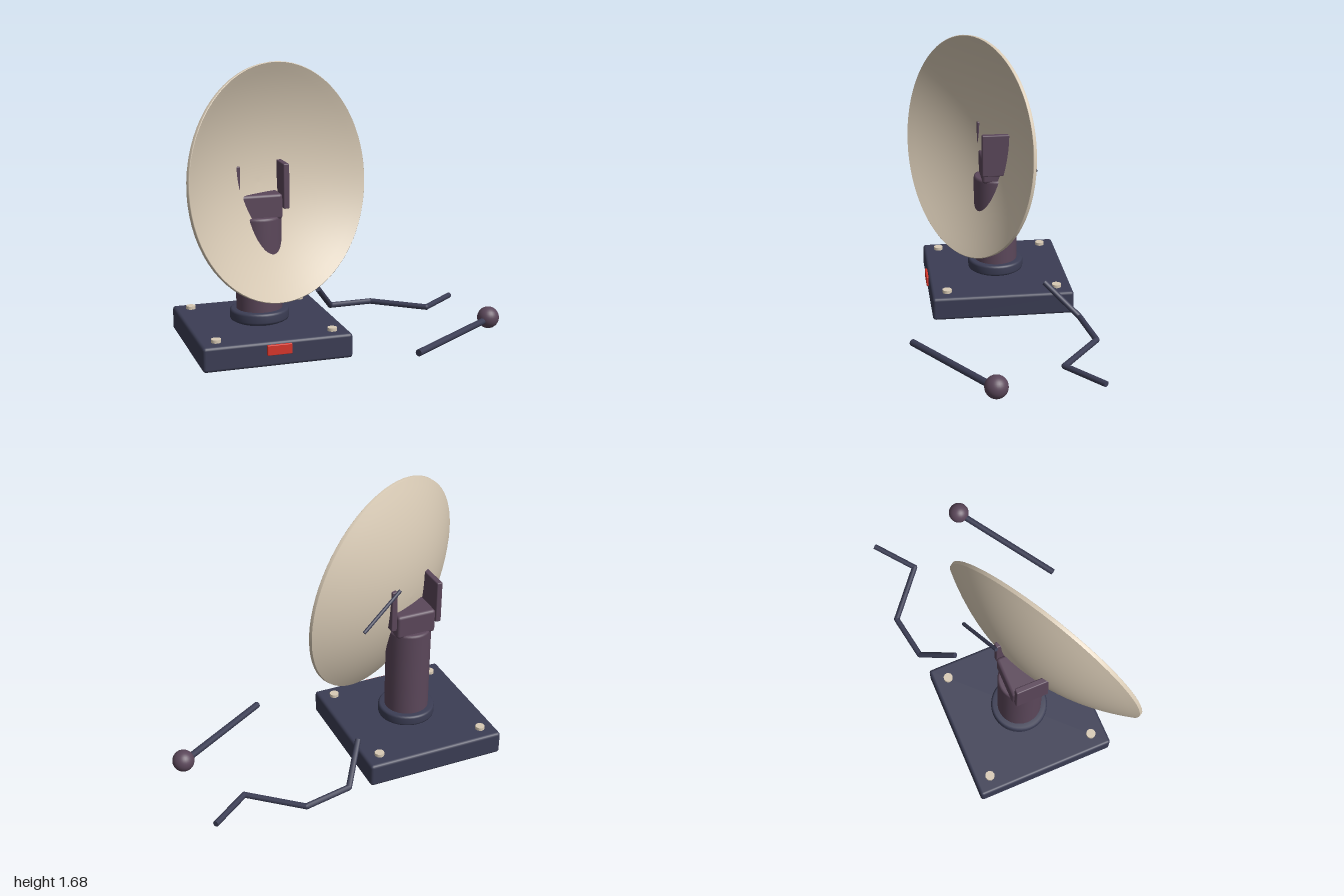
import * as THREE from 'three';
import { RoundedBoxGeometry } from 'three/addons/geometries/RoundedBoxGeometry.js';

const mat = (name, color) => Object.assign(new THREE.MeshStandardMaterial({ color }), { name });
const V = (x, y, z) => new THREE.Vector3(x, y, z);
const UP = V(0, 1, 0);

export function createModel() {
  const navy = mat('navy', 0x3b3d54);
  const plum = mat('plum', 0x5b475a);
  const cream = mat('cream', 0xd8cab5);
  const red = mat('red', 0xd8352a);

  const model = new THREE.Group();
  model.name = 'dishAntenna';
  const add = (name, geo, material, x = 0, y = 0, z = 0, parent = model) => {
    const m = new THREE.Mesh(geo, material);
    m.name = name;
    m.position.set(x, y, z);
    parent.add(m);
    return m;
  };
  const box = (w, h, d, r) => new RoundedBoxGeometry(w, h, d, 2, r);
  const lathe = (pts, seg) => new THREE.LatheGeometry(pts.map(p => new THREE.Vector2(...p)), seg);
  // Straight round bar between two points
  const bar = (name, a, b, r, material, parent = model) => {
    const d = b.clone().sub(a);
    const mid = a.clone().add(b).multiplyScalar(0.5);
    const m = add(name, new THREE.CylinderGeometry(r, r, d.length(), 10), material, mid.x, mid.y, mid.z, parent);
    m.quaternion.setFromUnitVectors(UP, d.normalize());
  };

  // Base slab with front button and corner bolts
  const cx = -0.487, cz = -0.05;
  add('base', box(0.875, 0.145, 0.875, 0.018), navy, cx, 0.0735, cz);
  add('frontButton', box(0.145, 0.06, 0.03, 0.004), red, cx, 0.1, 0.386);
  for (const sx of [-1, 1]) for (const sz of [-1, 1])
    add('bolt', new THREE.CylinderGeometry(0.029, 0.029, 0.02, 12), cream, cx + sx * 0.342, 0.155, cz + sz * 0.342);

  // Collar and column
  add('collar', lathe([[0.14, 0.14], [0.14, 0.157], [0.163, 0.157], [0.172, 0.163], [0.175, 0.173],
    [0.175, 0.21], [0.171, 0.22], [0.162, 0.225], [0.12, 0.225]], 40), navy, cx, 0, cz);
  add('column', lathe([[0.136, 0.15], [0.136, 0.765], [0.133, 0.777], [0.124, 0.782], [0, 0.782]], 40), plum, cx, 0, cz);

  // Yoke: block between two upright plates
  add('yokeBlock', box(0.25, 0.15, 0.2, 0.018), plum, cx, 0.84, -0.055);
  for (const s of [-1, 1])
    add('yokePlate', box(0.036, 0.265, 0.2, 0.007), plum, cx + s * 0.146, 0.958, -0.05);

  // Parabolic dish: inner face, rim band and outer face
  const dish = new THREE.Group();
  dish.name = 'dish';
  dish.position.set(-0.39, 1.0, 0.142);
  dish.quaternion.setFromUnitVectors(UP, V(0.47, 0.11, 0.876).normalize());
  model.add(dish);
  const R = 0.687, N = 14;
  const bowl = (depth, rim, radius) => Array.from({ length: N + 1 }, (_, i) =>
    [radius * i / N, rim - depth * (1 - (i / N) ** 2)]);
  add('dishOuter', lathe(bowl(0.2, -0.022, R - 0.002), 72), cream, 0, 0, 0, dish);
  add('dishRim', lathe([[R - 0.002, -0.022], [R, -0.003], [R - 0.004, 0]], 72), cream, 0, 0, 0, dish);
  add('dishInner', lathe(bowl(0.205, 0, R - 0.004).reverse(), 72), cream, 0, 0, 0, dish);

  // Thin rod hanging off the back of the dish
  bar('rearRod', V(-0.37, 1.1, -0.155), V(-0.1, 0.93, -0.248), 0.011, navy);

  // Kinked loose cable
  const cable = new THREE.Group();
  cable.name = 'cable';
  model.add(cable);
  const path = [V(-0.045, 0.225, -0.3), V(0.1, 0.05, -0.495), V(0.39, 0.037, -0.543),
    V(0.685, 0.037, -0.3), V(0.925, 0.042, -0.49)];
  path.forEach((p, i) => {
    if (i === 0) return;
    bar('cableSegment', path[i - 1], p, 0.018, navy, cable);
    if (i < path.length - 1) add('cableBend', new THREE.SphereGeometry(0.018, 10, 8), navy, p.x, p.y, p.z, cable);
  });

  // Loose stick with a ball end
  const ball = V(0.925, 0.068, 0.117);
  bar('stick', V(0.295, 0.04, 0.535), ball.clone().setY(0.058), 0.021, navy);
  add('ballKnob', new THREE.SphereGeometry(0.067, 28, 18), plum, ball.x, ball.y, ball.z);

  return model;
}
